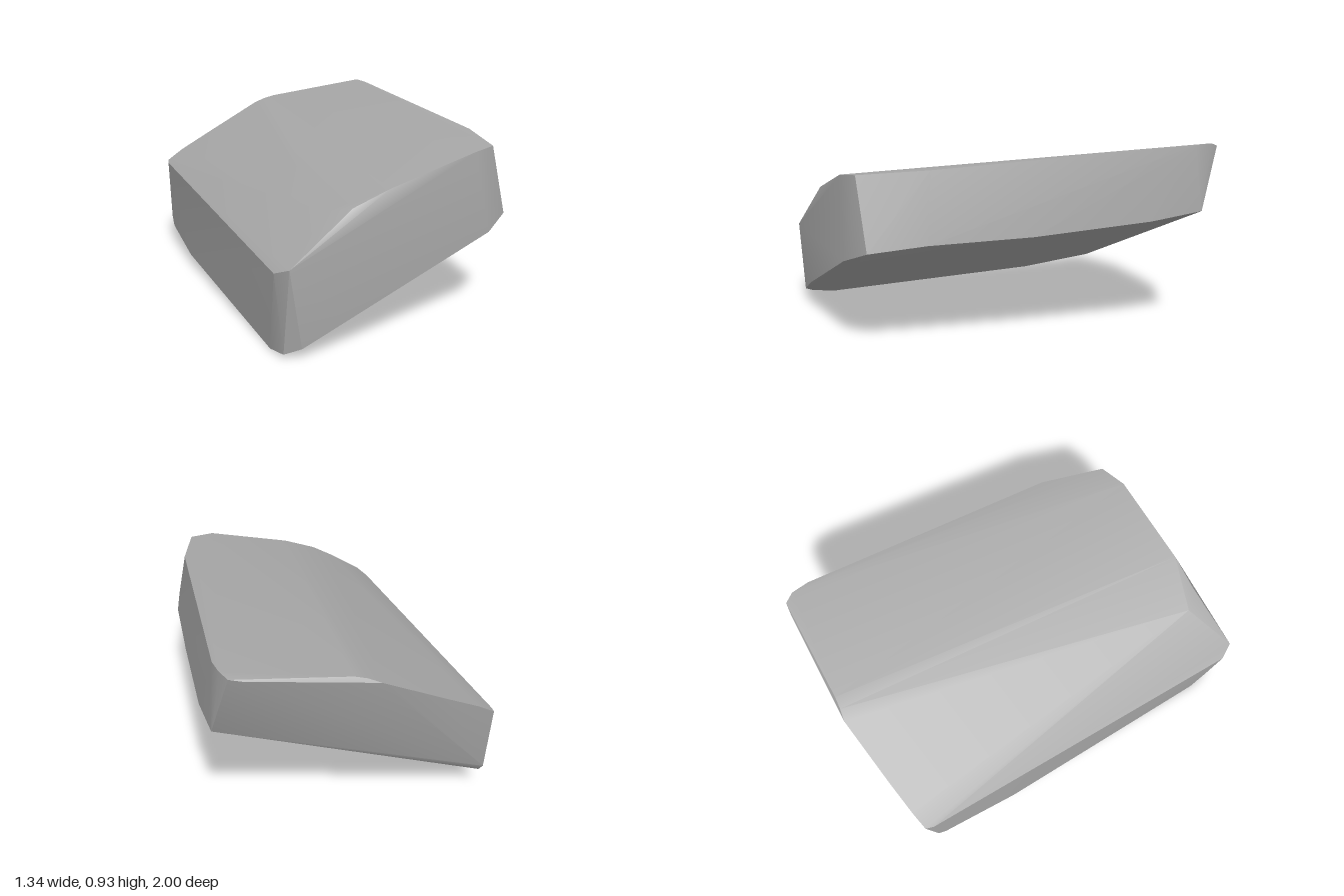
import * as THREE from 'three';
import { ConvexGeometry } from 'three/addons/geometries/ConvexGeometry.js';
import { toCreasedNormals } from 'three/addons/utils/BufferGeometryUtils.js';

const hull = (...rings) => new ConvexGeometry(rings.flat().map(p => new THREE.Vector3(...p)));

export function createModel() {
  const group = new THREE.Group();
  group.name = 'rock';
  const stone = new THREE.MeshStandardMaterial({ color: 0xa6a6a6 });
  stone.name = 'grey stone';

  // Sloping underside, anticlockwise from the low front corner
  const underside = [
    [-0.6, 0, 0.82], [-0.58, 0.02, 0.94], [-0.51, 0.05, 0.98], [-0.3, 0.135, 0.965],
    [0.48, 0.42, 0.86], [0.62, 0.475, 0.77], [0.655, 0.505, 0.5], [0.665, 0.52, 0],
    [0.67, 0.565, -0.6], [0.65, 0.6, -0.88], [-0.66, 0.16, -0.86],
    [-0.66, 0.11, -0.82], [-0.66, 0.055, -0.4],
  ];
  // Front rim of the top
  const frontRim = [
    [-0.615, 0.39, 0.93], [-0.57, 0.42, 1], [-0.4, 0.525, 0.945], [-0.34, 0.605, 0.84],
    [-0.25, 0.63, 0.92], [-0.07, 0.695, 0.91], [0.39, 0.81, 0.855], [0.52, 0.82, 0.8],
  ];
  // High side rim and overhanging back rim
  const backRim = [
    [0.595, 0.84, 0.47], [0.625, 0.925, -0.85], [0.61, 0.93, -0.94], [0.58, 0.915, -0.99],
    [0.52, 0.9, -0.995], [0.05, 0.85, -0.985], [-0.01, 0.835, -0.99], [-0.07, 0.81, -1],
    [-0.4, 0.645, -0.95], [-0.57, 0.56, -0.92], [-0.66, 0.505, -0.9], [-0.67, 0.495, -0.86],
  ];

  const slab = new THREE.Mesh(toCreasedNormals(hull(underside, frontRim, backRim), 0.45), stone);
  slab.name = 'rockSlab';
  group.add(slab);
  return group;
}
